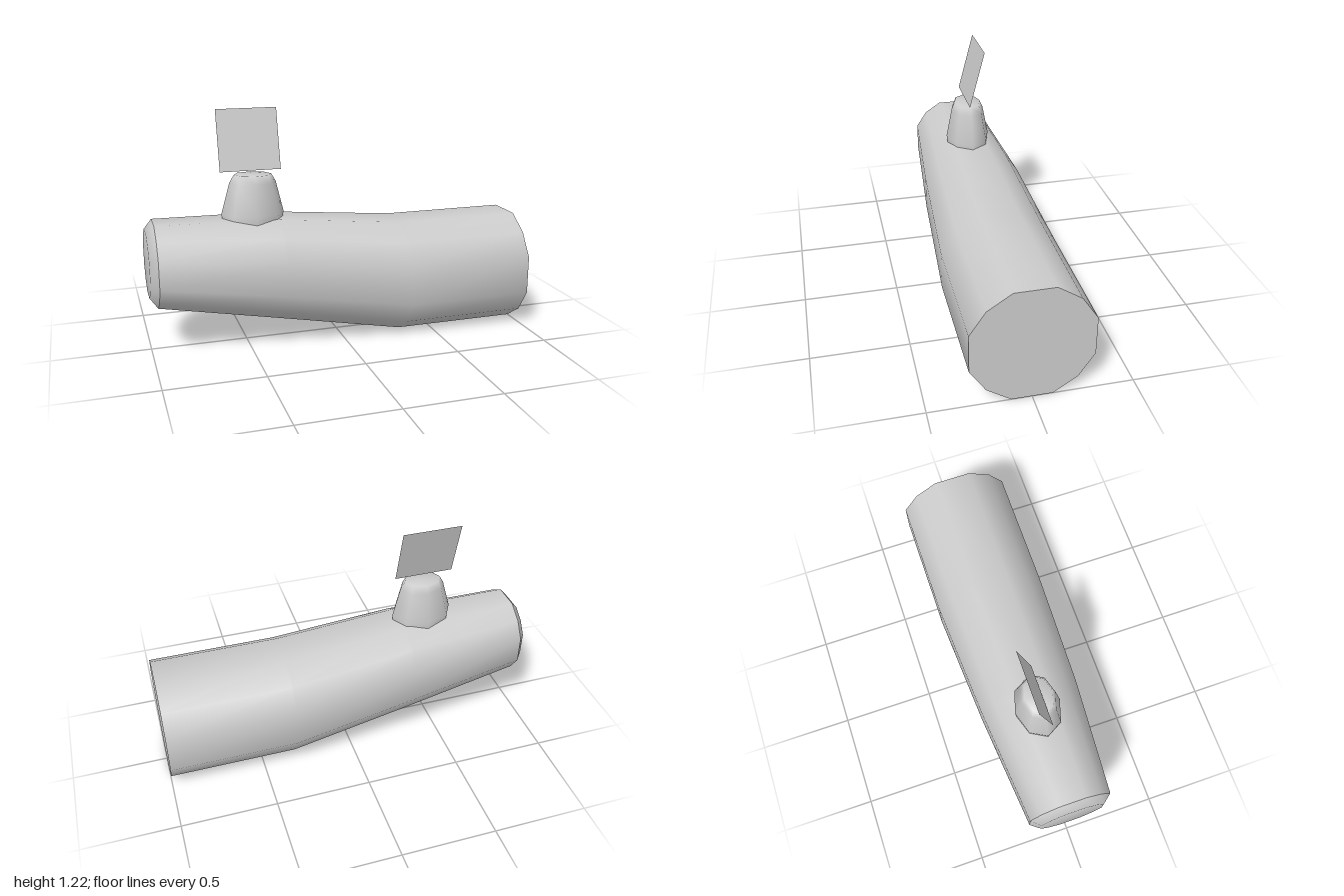
import * as THREE from 'three';

const grey = new THREE.MeshStandardMaterial({ color: 0xcccccc });
const thin = new THREE.MeshStandardMaterial({ color: 0xcccccc, side: THREE.DoubleSide });

// Twelve-sided cross-section as [z, y], counter-clockwise
const quarter = [[1, 0.335], [0.735, 0.735], [0.335, 1]];
const outline = [];
for (let q = 0; q < 4; q++) {
  for (const [a, b] of quarter) {
    outline.push([[a, b], [-b, a], [-a, -b], [b, -a]][q]);
  }
}

// Smooth skin through sections [x, centre height, half size], from +x to -x
function loft(sections) {
  const n = outline.length, positions = [], index = [];
  for (const [x, y, r] of sections) {
    for (const [oz, oy] of outline) positions.push(x, y + oy * r, oz * r);
  }
  for (let i = 0; i < sections.length - 1; i++) {
    for (let j = 0; j < n; j++) {
      const k = (j + 1) % n;
      const a = i * n + j, b = i * n + k, c = a + n, d = b + n;
      index.push(a, b, c, b, d, c);
    }
  }
  const geometry = new THREE.BufferGeometry();
  geometry.setAttribute('position', new THREE.Float32BufferAttribute(positions, 3));
  geometry.setIndex(index);
  geometry.computeVertexNormals();
  return geometry;
}

export function createModel() {
  const model = new THREE.Group();
  model.name = 'log';
  const add = (name, geometry, material = grey) => {
    const mesh = new THREE.Mesh(geometry, material);
    mesh.name = name;
    model.add(mesh);
    return mesh;
  };

  // Bent trunk with a flat wide end and a bevelled narrow end
  const wide = [1, 0.3, 0.3], narrow = [-0.96, 0.46, 0.216];
  add('trunk', loft([wide, [0.33, 0.3, 0.3], [-0.33, 0.395, 0.268], narrow]));
  add('wideEnd', loft([[1, 0.3, 0], wide]));
  add('narrowEnd', loft([narrow, [-1, 0.464, 0.167], [-1, 0.464, 0]]));

  // Oval eight-sided branch stump
  const profile = [[0.94, -0.05], [1, 0.02], [0.74, 0.18], [0.6, 0.22], [0, 0.22]]
    .map(([r, y]) => new THREE.Vector2(r, y));
  const stump = add('branchStump', new THREE.LatheGeometry(profile, 8).scale(0.163, 1, 0.12));
  stump.position.set(-0.45, 0.67, 0);
  stump.rotation.z = -0.02;

  // Thin leaf card floating above the stump, leaning back
  const leaf = add('leaf', new THREE.PlaneGeometry(0.315, 0.318), thin);
  leaf.position.set(-0.458, 1.065, -0.028);
  leaf.rotation.x = -0.26;

  return model;
}
